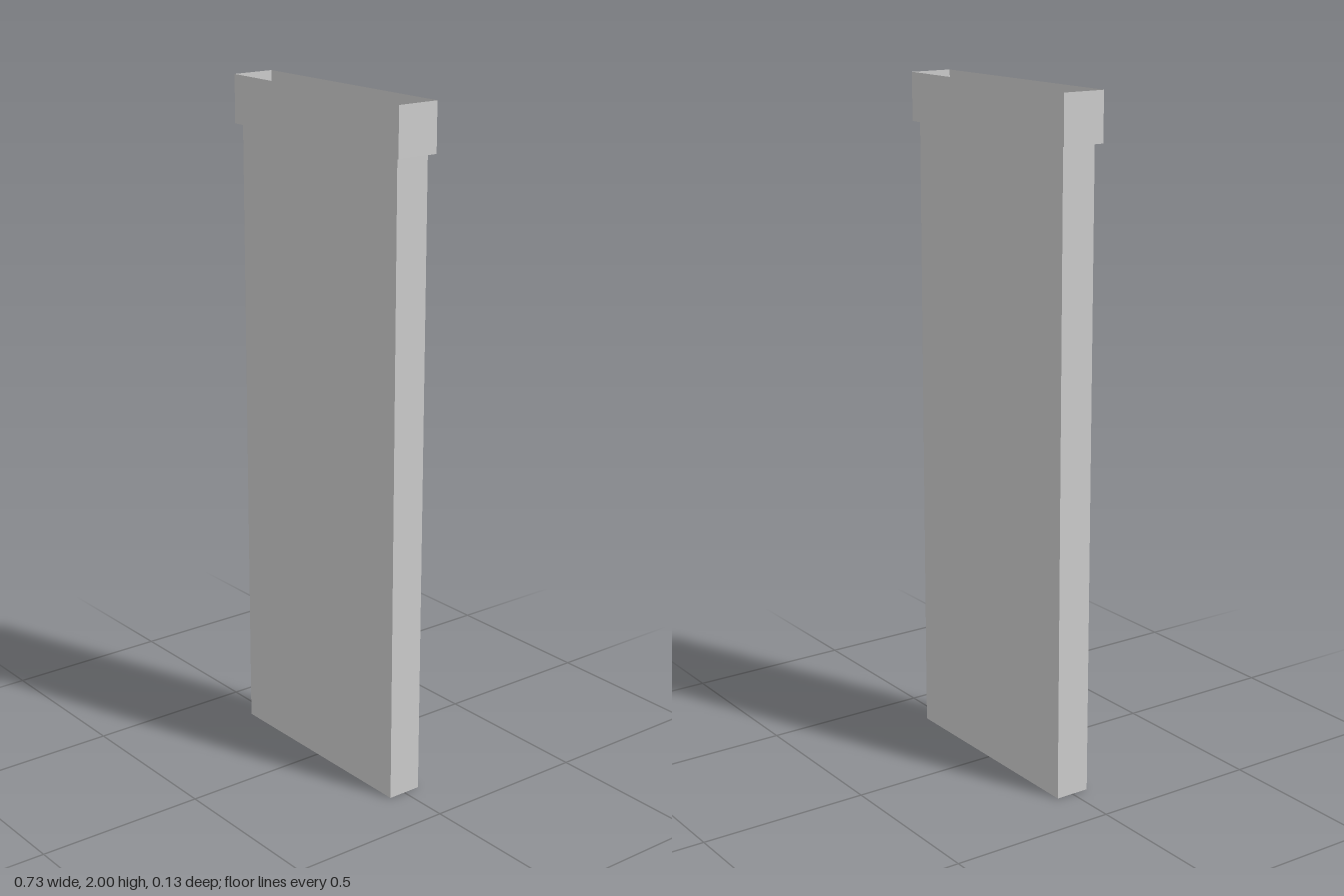
import * as THREE from 'three';

const material = new THREE.MeshStandardMaterial({ color: 0xcccccc, flatShading: true, side: THREE.DoubleSide });

const BODY = [0.343, 0.052]; // half width, half depth
const COLLAR = [0.363, 0.065];
const RIM_Y = 1.86;
const TOP_Y = 2;

// Thin four-sided band joining two rectangles [halfWidth, halfDepth] at heights y0 and y1
function band(name, lower, y0, upper, y1) {
  const signs = [[1, 1], [1, -1], [-1, -1], [-1, 1]];
  const corner = ([w, d], y, i) => [signs[i % 4][0] * w, y, signs[i % 4][1] * d];
  const positions = [];
  for (let i = 0; i < 4; i++) {
    const a = corner(lower, y0, i), b = corner(lower, y0, i + 1);
    const c = corner(upper, y1, i + 1), d = corner(upper, y1, i);
    positions.push(...a, ...b, ...c, ...a, ...c, ...d);
  }
  const geometry = new THREE.BufferGeometry();
  geometry.setAttribute('position', new THREE.Float32BufferAttribute(positions, 3));
  geometry.computeVertexNormals();
  const mesh = new THREE.Mesh(geometry, material);
  mesh.name = name;
  return mesh;
}

export function createModel() {
  const model = new THREE.Group();
  model.name = 'openSleeve';

  // Closed bottom of the hollow body
  const floor = new THREE.Mesh(new THREE.PlaneGeometry(BODY[0] * 2, BODY[1] * 2), material);
  floor.name = 'floor';
  floor.rotation.x = Math.PI / 2;

  model.add(
    floor,
    band('bodyWalls', BODY, 0, BODY, RIM_Y),
    // Narrow step out to the wider open collar
    band('collarLedge', BODY, RIM_Y, COLLAR, RIM_Y),
    band('collarWalls', COLLAR, RIM_Y, COLLAR, TOP_Y)
  );
  return model;
}
